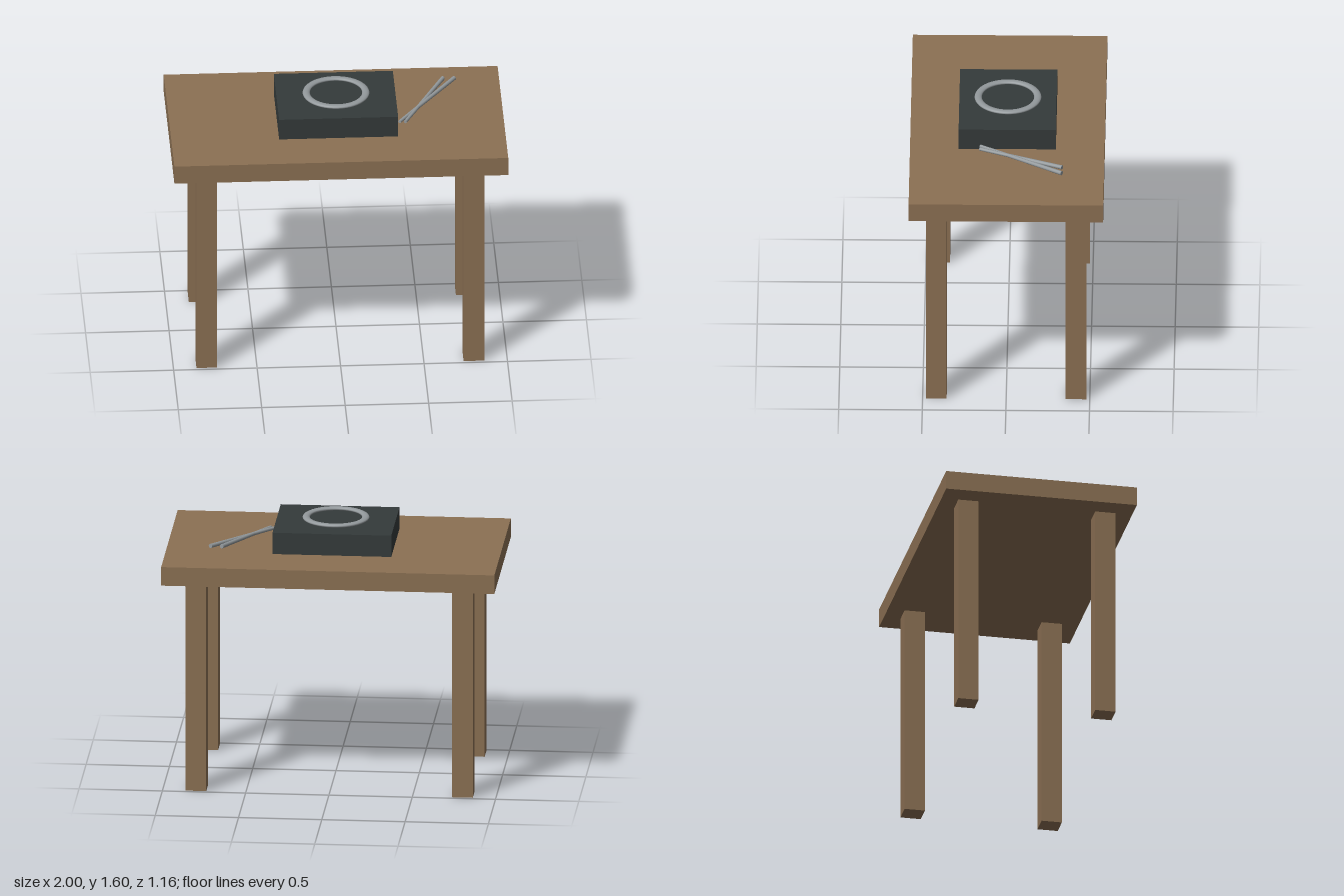
import * as THREE from 'three';

export function createModel() {
  const model = new THREE.Group();
  model.name = 'tableWithStove';

  const material = (name, color) => {
    const m = new THREE.MeshStandardMaterial({ color });
    m.name = name;
    return m;
  };
  const wood = material('wood', 0x8b7053);
  const charcoal = material('charcoal', 0x343a3a);
  const steel = material('steel', 0x93999c);

  const add = (name, geometry, mat, x, y, z) => {
    const mesh = new THREE.Mesh(geometry, mat);
    mesh.name = name;
    mesh.position.set(x, y, z);
    model.add(mesh);
    return mesh;
  };

  // Table top and four square legs
  add('tableTop', new THREE.BoxGeometry(2, 0.116, 1.164), wood, 0, 1.368, 0);
  const legGeometry = new THREE.BoxGeometry(0.124, 1.31, 0.124);
  for (const [x, side] of [[0.8, 'left'], [-0.8, 'right']]) {
    for (const [z, end] of [[0.418, 'Front'], [-0.418, 'Back']]) {
      add(`${side}${end}Leg`, legGeometry, wood, x, 0.655, z);
    }
  }

  // Stove block resting just above the table
  add('stoveBody', new THREE.BoxGeometry(0.713, 0.133, 0.582), charcoal, 0, 1.502, 0);

  // Flattened burner ring
  const ring = new THREE.TorusGeometry(0.178, 0.022, 12, 48);
  ring.rotateX(Math.PI / 2);
  ring.scale(1, 0.5, 1);
  add('burnerRing', ring, steel, 0, 1.588, 0);

  // Two crossed, slightly tapered sticks
  const addStick = (name, tip, end) => {
    const a = new THREE.Vector3(...tip);
    const b = new THREE.Vector3(...end);
    const dir = b.clone().sub(a);
    const mid = a.clone().add(b).multiplyScalar(0.5);
    const geometry = new THREE.CylinderGeometry(0.013, 0.01, dir.length(), 12);
    const stick = add(name, geometry, steel, mid.x, mid.y, mid.z);
    stick.quaternion.setFromUnitVectors(new THREE.Vector3(0, 1, 0), dir.normalize());
  };
  addStick('innerStick', [0.406, 1.464, 0.163], [0.658, 1.488, -0.332]);
  addStick('outerStick', [0.372, 1.464, 0.16], [0.726, 1.488, -0.33]);

  return model;
}
